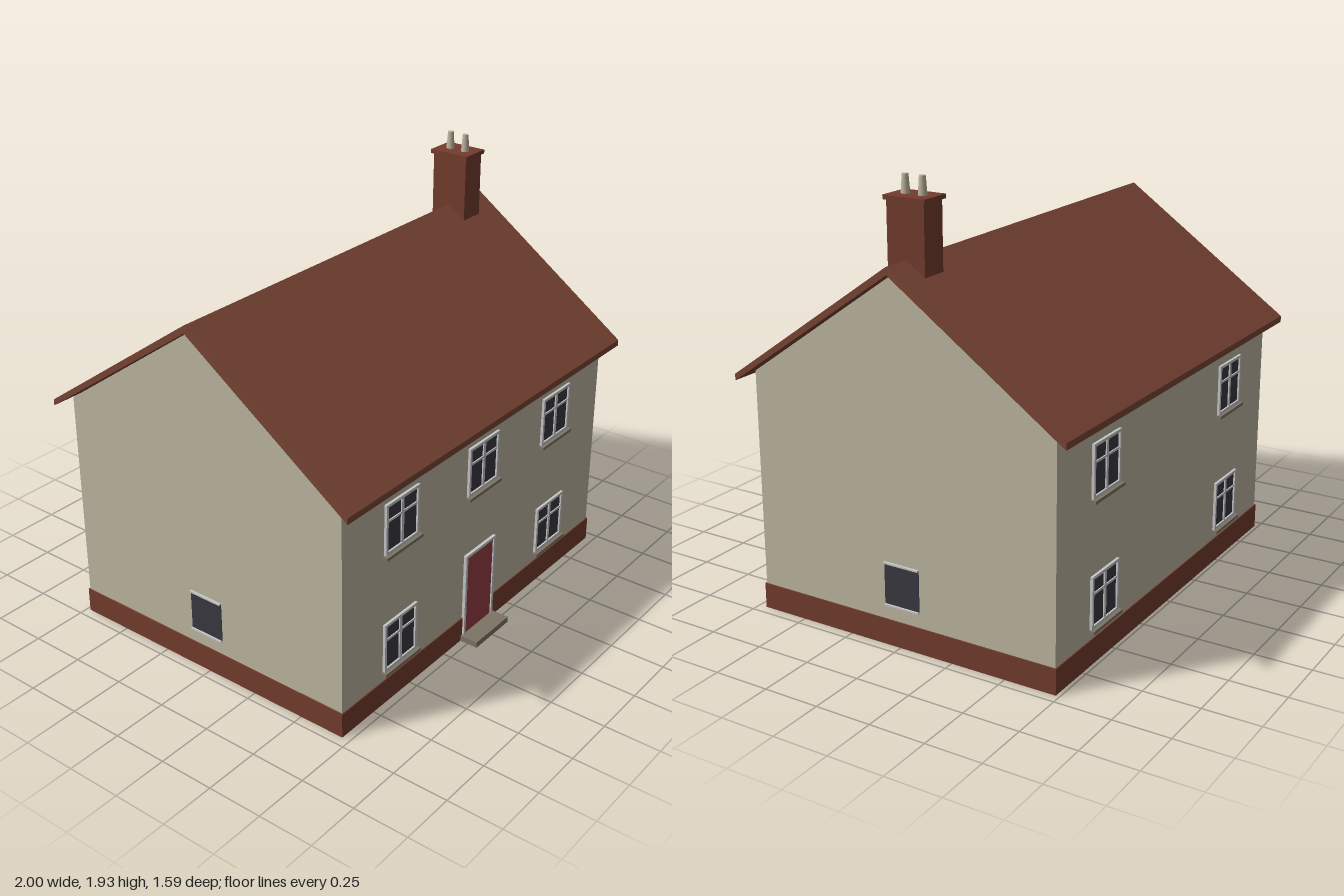
import * as THREE from 'three';

const mat = (name, color) => {
  const m = new THREE.MeshStandardMaterial({ color });
  m.name = name;
  return m;
};

export function createModel() {
  const house = new THREE.Group();
  house.name = 'house';

  const render = mat('cream render', 0xbdb5a0);
  const tile = mat('roof tile', 0x794534);
  const brick = mat('red brick', 0x733c2d);
  const glass = mat('dark glass', 0x3a3841);
  const frame = mat('pale frame', 0xc6c6c6);
  const stone = mat('grey stone', 0x7c7466);
  const red = mat('red door paint', 0x983e43);

  const midZ = -0.01;
  const wallX = 0.95, wallZ = 0.718;

  const add = (parent, name, geometry, material) => {
    const mesh = new THREE.Mesh(geometry, material);
    mesh.name = name;
    parent.add(mesh);
    return mesh;
  };
  // Box given by its lower and upper limits
  const box = (parent, name, material, x0, x1, y0, y1, z0, z1) => {
    const mesh = add(parent, name, new THREE.BoxGeometry(x1 - x0, y1 - y0, z1 - z0), material);
    mesh.position.set((x0 + x1) / 2, (y0 + y1) / 2, (z0 + z1) / 2);
    return mesh;
  };
  // Gable profile of (z, y) points, extruded along x
  const gable = (name, points, halfLength, material) => {
    const shape = new THREE.Shape(points.map(([z, y]) => new THREE.Vector2(-z, y)));
    const geometry = new THREE.ExtrudeGeometry(shape, { depth: halfLength * 2, bevelEnabled: false });
    geometry.translate(0, 0, -halfLength).rotateY(Math.PI / 2);
    add(house, name, geometry, material).position.z = midZ;
  };

  // Walls, plinth and roof
  gable('walls', [[wallZ, 0.1], [wallZ, 1.07], [0, 1.575], [-wallZ, 1.07], [-wallZ, 0.1]], wallX, render);
  box(house, 'plinth', brick, -0.956, 0.956, 0, 0.113, midZ - 0.723, midZ + 0.723);
  gable('roof', [[0.785, 1.03], [0.785, 1.058], [0, 1.61], [-0.785, 1.058], [-0.785, 1.03], [0, 1.577]], 1, tile);

  // Chimney with cap and two tapered pots
  const chimney = new THREE.Group();
  chimney.name = 'chimney';
  house.add(chimney);
  box(chimney, 'stack', brick, 0.748, 0.87, 1.547, 1.838, -0.097, 0.077);
  box(chimney, 'cap', brick, 0.738, 0.88, 1.836, 1.854, -0.108, 0.087);
  for (const z of [0.03, -0.05]) {
    add(chimney, 'chimneyPot', new THREE.CylinderGeometry(0.013, 0.019, 0.078, 16), render)
      .position.set(0.809, 1.892, z);
  }

  // Two-light casement window, facing +z, with its base at the group's origin
  const casement = (x, y, z, turn) => {
    const g = new THREE.Group();
    g.name = 'window';
    const w = 0.11, h = 0.228, t = 0.013, d = 0.012;
    box(g, 'glass', glass, -w + t, w - t, t, h - t, -0.003, 0.004);
    for (const s of [-1, 1]) {
      box(g, 'jamb', frame, s * (w - t / 2) - t / 2, s * (w - t / 2) + t / 2, 0, h, -0.003, d);
    }
    box(g, 'headRail', frame, -w + t, w - t, h - t, h, -0.003, d);
    box(g, 'bottomRail', frame, -w + t, w - t, 0, t, -0.003, d);
    box(g, 'mullion', frame, -0.008, 0.008, t, h - t, -0.003, 0.01);
    box(g, 'transom', frame, -w + t, w - t, 0.144, 0.154, -0.003, 0.009);
    box(g, 'sill', stone, -0.12, 0.12, -0.014, 0, -0.003, 0.026);
    g.position.set(x, y, z);
    g.rotation.y = turn;
    house.add(g);
  };
  const front = midZ + wallZ, back = midZ - wallZ;
  for (const x of [-0.575, 0.575]) {
    casement(x, 0.716, front, 0);
    casement(x, 0.16, front, 0);
    casement(x, 0.716, back, Math.PI);
    casement(x, 0.16, back, Math.PI);
  }
  casement(0, 0.716, front, 0);

  // Plain windows in the gable ends
  for (const s of [-1, 1]) {
    const g = new THREE.Group();
    g.name = 'gableWindow';
    box(g, 'glass', glass, -0.084, 0.084, 0.183, 0.361, -0.003, 0.003);
    box(g, 'lintel', frame, -0.084, 0.084, 0.361, 0.368, -0.003, 0.012);
    box(g, 'sill', frame, -0.084, 0.084, 0.176, 0.183, -0.003, 0.012);
    g.position.set(s * wallX, 0, midZ);
    g.rotation.y = s * Math.PI / 2;
    house.add(g);
  }

  // Front door with surround and step
  const door = new THREE.Group();
  door.name = 'frontDoor';
  house.add(door);
  box(door, 'doorPanel', red, -0.099, 0.099, 0.025, 0.414, 0.707, 0.716);
  for (const s of [-1, 1]) {
    box(door, 'doorJamb', frame, s * 0.106 - 0.007, s * 0.106 + 0.007, 0.025, 0.428, 0.705, 0.722);
  }
  box(door, 'doorHead', frame, -0.099, 0.099, 0.414, 0.428, 0.705, 0.722);
  box(house, 'doorstep', stone, -0.125, 0.123, 0, 0.027, 0.7, 0.798);

  return house;
}
